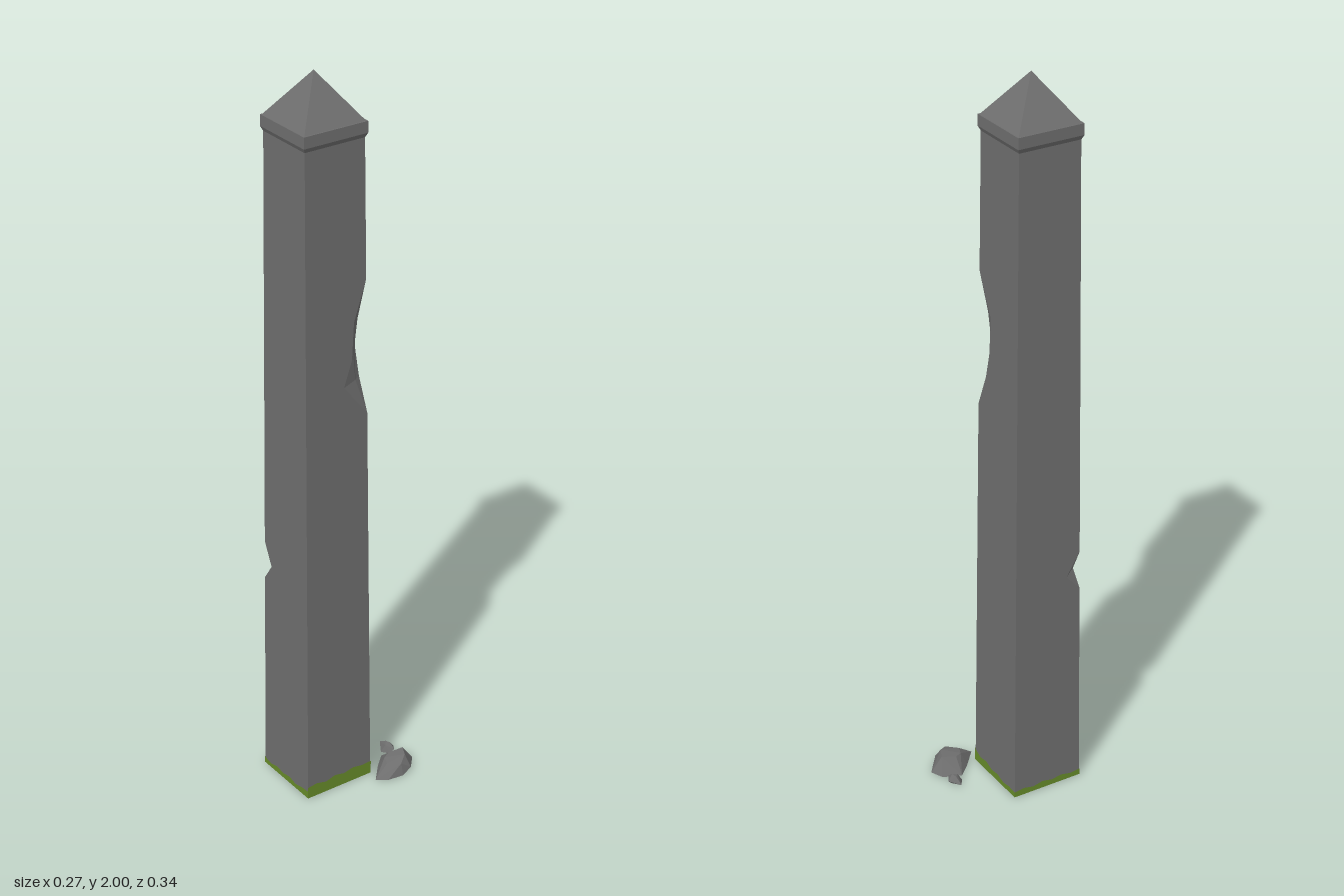
import * as THREE from 'three';
import { ConvexGeometry } from 'three/addons/geometries/ConvexGeometry.js';

const BASE = 0.102, TOP = 0.087, SHAFT_H = 1.85;
const halfAt = (y) => BASE + (TOP - BASE) * (y / SHAFT_H);

// Tapered square shaft; each level may cut two opposite corners:
// [y, back-right cut (along z, along x, diagonal inset), front-left cut (same)]
function shaftGeometry() {
  const none = [0, 0, 0];
  const levels = [
    [0, none, none],
    [0.59, none, none],
    [0.635, none, [0.04, 0.032, 0.018]],
    [0.70, none, none],
    [1.10, none, none],
    [1.19, [0.07, 0.035, 0.021], none],
    [1.26, [0.045, 0.05, 0.024], none],
    [1.36, [0.038, 0.055, 0.016], none],
    [1.47, none, none],
    [SHAFT_H, none, none],
  ];
  const rings = levels.map(([y, [az, ax, ad], [bz, bx, bd]]) => {
    const h = halfAt(y);
    return [
      [h, y, h], [h, y, -h + az], [h - ad, y, -h + ad], [h - ax, y, -h],
      [-h, y, -h], [-h, y, h - bz], [-h + bd, y, h - bd], [-h + bx, y, h],
    ];
  });
  const pos = [];
  const tri = (a, b, c) => pos.push(...a, ...b, ...c);
  for (let k = 0; k < rings.length - 1; k++) {
    for (let i = 0; i < 8; i++) {
      const j = (i + 1) % 8, lo = rings[k], hi = rings[k + 1];
      tri(lo[i], lo[j], hi[j]);
      tri(lo[i], hi[j], hi[i]);
    }
  }
  // underside
  const b = rings[0];
  tri(b[0], b[4], b[2]);
  tri(b[0], b[6], b[4]);
  const g = new THREE.BufferGeometry();
  g.setAttribute('position', new THREE.Float32BufferAttribute(pos, 3));
  g.computeVertexNormals();
  return g;
}

// Four-sided frustum with sides parallel to the axes
function frustum(halfTop, halfBottom, y0, y1) {
  const g = new THREE.CylinderGeometry(halfTop * Math.SQRT2, halfBottom * Math.SQRT2, y1 - y0, 4);
  return g.rotateY(Math.PI / 4).translate(0, (y0 + y1) / 2, 0);
}

// Ragged strip of moss for one side of the base
function mossGeometry(heights) {
  const s = new THREE.Shape();
  const w = BASE + 0.001, n = heights.length - 1;
  s.moveTo(-w, 0);
  s.lineTo(w, 0);
  for (let i = n; i >= 0; i--) s.lineTo(-w + (2 * w * i) / n, heights[i]);
  return new THREE.ShapeGeometry(s).translate(0, 0, w);
}

const rock = (points) => new ConvexGeometry(points.map((p) => new THREE.Vector3(...p)));

export function createModel() {
  const stone = new THREE.MeshStandardMaterial({ color: 0x6e6e6e, flatShading: true });
  stone.name = 'stone';
  const moss = new THREE.MeshStandardMaterial({ color: 0x668a2a, flatShading: true, side: THREE.DoubleSide });
  moss.name = 'moss';

  const model = new THREE.Group();
  model.name = 'obelisk';
  const add = (parent, name, geometry, material) => {
    const m = new THREE.Mesh(geometry, material);
    m.name = name;
    parent.add(m);
    return m;
  };

  const pillar = new THREE.Group();
  pillar.name = 'pillar';
  pillar.position.set(-0.032, 0, 0.0665);
  model.add(pillar);

  add(pillar, 'shaft', shaftGeometry(), stone);
  add(pillar, 'capBevel', frustum(0.0925, TOP, 1.838, 1.85), stone);
  add(pillar, 'capLip', frustum(0.0925, 0.0925, 1.85, 1.88), stone);
  add(pillar, 'capPyramid', frustum(0, 0.089, 1.88, 2), stone);

  // Moss around the foot: front, right of view, back, other side
  [
    [0.018, 0.012, 0.019, 0.014, 0.02, 0.013, 0.02, 0.022],
    [0.034, 0.038, 0.031, 0.04, 0.034, 0.041, 0.036, 0.038],
    [0.036, 0.024, 0.028, 0.018, 0.022, 0.013, 0.018, 0.016],
    [0.016, 0.02, 0.014, 0.021, 0.015, 0.02, 0.014, 0.018],
  ].forEach((heights, i) => {
    add(pillar, 'moss' + (i + 1), mossGeometry(heights), moss).rotation.y = (i * Math.PI) / 2;
  });

  // Broken pieces lying behind the foot
  add(model, 'largeRubble', rock([
    [0.025, 0, -0.105], [0.04, 0.004, -0.157], [0.08, 0, -0.17], [0.127, 0.012, -0.13],
    [0.133, 0, -0.1], [0.127, 0, -0.055], [0.107, 0, -0.027], [0.06, 0, -0.068],
    [0.065, 0.036, -0.1], [0.075, 0.043, -0.14], [0.105, 0.044, -0.125],
    [0.124, 0.034, -0.1], [0.1, 0.032, -0.07], [0.075, 0.034, -0.08],
  ]), stone);
  add(model, 'smallRubble', rock([
    [-0.023, 0.008, -0.135], [0.013, 0.006, -0.155], [0.032, 0.01, -0.144], [0.03, 0, -0.13],
    [0.01, 0, -0.115], [-0.01, 0, -0.128], [0.01, 0, -0.148],
    [0.0, 0.022, -0.138], [0.016, 0.024, -0.142], [0.014, 0.02, -0.127],
  ]), stone);

  return model;
}
